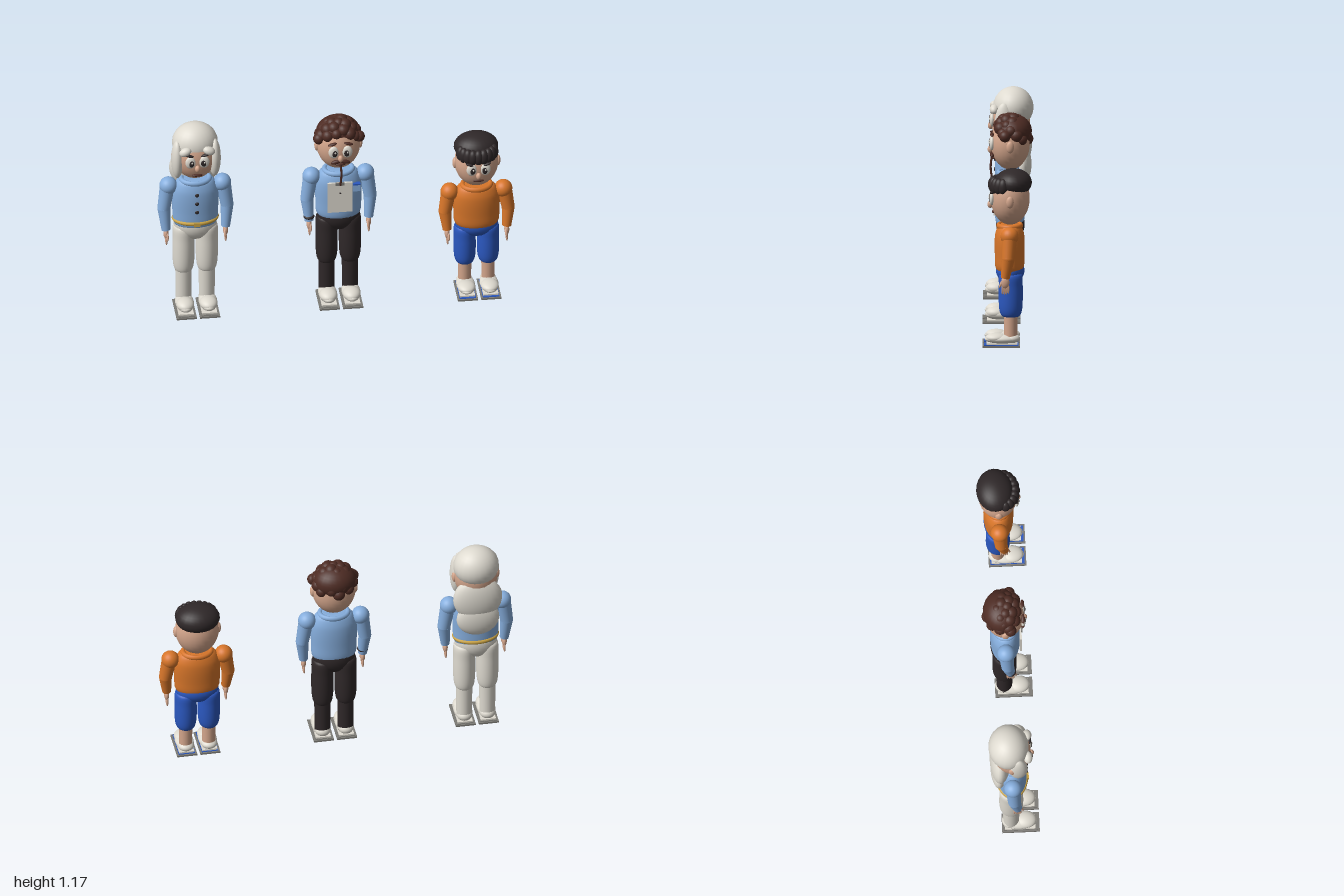
import * as THREE from 'three';

const material = (name, color) => new THREE.MeshStandardMaterial({ name, color });
const M = {
  skin: material('skin', 0xd4a68c), white: material('offWhite', 0xdedad0),
  sky: material('lightBlue', 0x86aedd), orange: material('orange', 0xd8762a),
  blue: material('blue', 0x2b58c0), black: material('charcoal', 0x2f2829),
  brown: material('brown', 0x4e2c24), gold: material('gold', 0xcda545),
  gray: material('gray', 0x7d7b76),
};
const sphere = new THREE.SphereGeometry(1, 24, 18);
const curlSphere = new THREE.SphereGeometry(1, 16, 12);

function add(parent, name, geometry, mat, pos = [0, 0, 0], scale = [1, 1, 1], rotZ = 0) {
  const m = new THREE.Mesh(geometry, mat);
  m.name = name;
  m.position.set(...pos);
  m.scale.set(...scale);
  m.rotation.z = rotZ;
  parent.add(m);
  return m;
}
const ball = (p, name, mat, pos, radii, rotZ = 0, geo = sphere) => add(p, name, geo, mat, pos, radii, rotZ);
const box = (p, name, mat, pos, size, rotZ = 0) => add(p, name, new THREE.BoxGeometry(...size), mat, pos, [1, 1, 1], rotZ);

// Tapered round limb between two points
function limb(p, name, mat, a, b, ra, rb) {
  const A = new THREE.Vector3(...a), B = new THREE.Vector3(...b);
  const dir = B.clone().sub(A);
  const m = add(p, name, new THREE.CylinderGeometry(rb, ra, dir.length(), 20), mat);
  m.position.copy(A).add(B).multiplyScalar(0.5);
  m.quaternion.setFromUnitVectors(new THREE.Vector3(0, 1, 0), dir.normalize());
  return m;
}

// Smooth solid of revolution through a few profile points
function turned(p, name, mat, points, pos, scale) {
  const curve = new THREE.SplineCurve(points.map(([x, y]) => new THREE.Vector2(x, y)));
  const pts = curve.getPoints(30).map((v) => new THREE.Vector2(Math.max(0, v.x), v.y));
  return add(p, name, new THREE.LatheGeometry(pts, 32), mat, pos, scale);
}

function addTorso(g, mat, bottom, top) {
  const h = top - bottom;
  turned(g, 'torso', mat, [
    [0, 0], [0.09, 0.002], [0.123, 0.03], [0.128, h * 0.35], [0.13, h * 0.65],
    [0.12, h * 0.85], [0.085, h], [0, h],
  ], [0, bottom, -0.012], [1, 1, 0.64]);
  const collar = add(g, 'collar', new THREE.TorusGeometry(0.078, 0.015, 12, 32), mat, [0, top - 0.006, -0.012], [1, 0.8, 1]);
  collar.rotation.x = Math.PI / 2;
}

function addArm(g, s, mat, shoulderY, wristY) {
  const elbowY = shoulderY - (shoulderY - wristY) * 0.52;
  const elbow = [s * 0.176, elbowY, -0.005], wrist = [s * 0.166, wristY, 0.012];
  ball(g, 'shoulder', mat, [s * 0.15, shoulderY, -0.012], [0.05, 0.05, 0.05]);
  limb(g, 'upperSleeve', mat, [s * 0.155, shoulderY, -0.012], elbow, 0.042, 0.036);
  ball(g, 'elbow', mat, elbow, [0.036, 0.036, 0.036]);
  limb(g, 'lowerSleeve', mat, elbow, wrist, 0.036, 0.025);
  // Hand
  ball(g, 'palm', M.skin, [s * 0.166, wristY - 0.025, 0.012], [0.014, 0.034, 0.023]);
  for (let i = 0; i < 4; i++) {
    const z = 0.028 - i * 0.011;
    ball(g, 'finger', M.skin, [s * 0.165, wristY - 0.068 + Math.abs(i - 1.3) * 0.004, z], [0.006, 0.029, 0.006]);
  }
  const thumb = ball(g, 'thumb', M.skin, [s * 0.16, wristY - 0.035, 0.036], [0.007, 0.024, 0.007]);
  thumb.rotation.x = -0.4;
}

function addLeg(g, s, o) {
  const x = s * 0.065, h = o.legTop - o.knee, r = o.calfRadius;
  turned(g, 'thigh', o.pants, [
    [0, 0], [0.038, 0.002], [0.054, 0.022], [0.061, h * 0.3], [0.061, h * 0.7], [0.055, h], [0, h],
  ], [x, o.knee, -0.018], [1, 1, 1.08]);
  limb(g, 'calf', o.calf, [x, 0.04, -0.018], [x, o.knee + 0.03, -0.018], r * 0.95, r);
  // Shoe on a flat base plate
  const k = o.shoeHeight;
  ball(g, 'shoe', M.white, [x, 0.018 + k * 0.45, 0.029], [0.052, k * 0.5, 0.098]);
  ball(g, 'shoeToe', M.white, [x, 0.022 + k * 0.5, 0.062], [0.05, k * 0.5, 0.06]);
  ball(g, 'shoeHeel', M.white, [x, 0.018 + k * 0.5, -0.026], [0.044, k * 0.5, 0.044]);
  box(g, 'sole', M.white, [x, 0.015, 0.03], [0.085, 0.012, 0.17]);
  box(g, 'basePlate', M.gray, [x, 0.005, 0.034], [0.112, 0.01, 0.208]);
  box(g, 'plateTrim', o.trim, [x, 0.011, 0.034], [0.092, 0.004, 0.19]);
}

function addHead(g, y, brow, browY, browTilt, mouthY) {
  ball(g, 'head', M.skin, [0, y, -0.015], [0.122, 0.148, 0.108]);
  ball(g, 'nose', M.skin, [0, y - 0.035, 0.095], [0.015, 0.021, 0.016]);
  ball(g, 'mouth', M.brown, [0, y + mouthY, 0.077], [0.03, 0.008, 0.009]);
  for (const s of [-1, 1]) {
    ball(g, 'ear', M.skin, [s * 0.12, y - 0.005, -0.014], [0.014, 0.033, 0.021]);
    ball(g, 'eye', M.white, [s * 0.038, y + 0.003, 0.086], [0.029, 0.037, 0.015]);
    ball(g, 'pupil', M.black, [s * 0.034, y, 0.097], [0.015, 0.021, 0.006]);
    ball(g, 'eyeGlint', M.white, [s * 0.034 + 0.004, y + 0.007, 0.102], [0.005, 0.006, 0.003]);
    ball(g, 'eyebrow', brow, [s * 0.045, y + browY, 0.086], [0.026, 0.008, 0.011], s * browTilt);
  }
}

function person(name, x, o) {
  const g = new THREE.Group();
  g.name = name;
  g.position.x = x;
  addTorso(g, o.shirt, o.legTop, o.top);
  ball(g, 'hips', o.pants, [0, o.legTop + 0.01, -0.015], [0.12, o.hips, 0.079]);
  for (const s of [-1, 1]) {
    addArm(g, s, o.shirt, o.top - 0.042, o.wrist);
    addLeg(g, s, o);
  }
  return g;
}

const adult = { top: 0.835, legTop: 0.53, wrist: 0.52, knee: 0.235, hips: 0.1, calfRadius: 0.046, shoeHeight: 0.066, trim: M.gray };

// Figure with long pale hair, buttons and belt
function longHairedFigure() {
  const g = person('longHairedFigure', -0.786, { ...adult, shirt: M.sky, pants: M.white, calf: M.white });
  const y = 0.99;
  addHead(g, y, M.black, 0.047, 0.3, -0.087);
  ball(g, 'hairDome', M.white, [0, y + 0.068, -0.03], [0.127, 0.115, 0.112]);
  ball(g, 'hairBackUpper', M.white, [0, 0.87, -0.078], [0.138, 0.14, 0.057]);
  ball(g, 'hairBackLower', M.white, [0, 0.74, -0.085], [0.12, 0.11, 0.046]);
  for (const s of [-1, 1]) {
    ball(g, 'hairLock', M.white, [s * 0.104, y - 0.01, 0.02], [0.034, 0.118, 0.052]);
    ball(g, 'bushyBrow', M.white, [s * 0.066, y + 0.067, 0.075], [0.035, 0.024, 0.025], s * -0.4);
  }
  for (let i = 0; i < 3; i++) ball(g, 'button', M.black, [0, 0.655 + i * 0.055, 0.071], [0.011, 0.011, 0.006]);
  const belt = add(g, 'belt', new THREE.TorusGeometry(0.12, 0.011, 10, 40), M.gold, [0, 0.578, -0.012], [1, 0.69, 1]);
  belt.rotation.x = Math.PI / 2;
  box(g, 'buckle', M.gold, [0, 0.578, 0.078], [0.035, 0.024, 0.008]);
  return g;
}

// Figure with curls, moustache and clipboard
function curlyFigure() {
  const g = person('curlyFigure', 0.011, { ...adult, shirt: M.sky, pants: M.black, calf: M.black });
  const y = 0.995, n = 92;
  addHead(g, y, M.brown, 0.055, -0.25, -0.082);
  ball(g, 'hairBase', M.brown, [0, y + 0.07, -0.03], [0.122, 0.09, 0.104]);
  for (let i = 0; i < n; i++) {
    const v = 1 - (2 * i + 1) / n, a = i * 2.39996, r = Math.sqrt(1 - v * v);
    const z = Math.cos(a) * r;
    if (v < 0.32 + 0.26 * z) continue;
    const size = 0.031 + 0.006 * Math.abs(Math.sin(i * 1.7));
    ball(g, 'curl', M.brown, [Math.sin(a) * r * 0.112, y + v * 0.14, -0.015 + z * 0.092], [size, size, size], 0, curlSphere);
  }
  for (const s of [-1, 1]) {
    ball(g, 'sideCurl', M.brown, [s * 0.112, y + 0.055, 0.015], [0.032, 0.032, 0.032]);
    ball(g, 'moustache', M.brown, [s * 0.024, y - 0.06, 0.086], [0.031, 0.012, 0.012], s * -0.25);
  }
  // Clipboard on a cord, with a clip, and a shirt pocket
  const cord = new THREE.CatmullRomCurve3([[0, 0.92, 0.088], [0.004, 0.86, 0.094], [0, 0.78, 0.084]].map((p) => new THREE.Vector3(...p)));
  add(g, 'cord', new THREE.TubeGeometry(cord, 12, 0.006, 8), M.brown);
  box(g, 'clipboard', M.white, [-0.002, 0.695, 0.073], [0.138, 0.19, 0.012]);
  box(g, 'clip', M.gray, [-0.002, 0.785, 0.081], [0.05, 0.018, 0.008]);
  ball(g, 'clipKnob', M.black, [0, 0.725, 0.08], [0.005, 0.005, 0.004]);
  box(g, 'pocket', M.sky, [0.093, 0.742, 0.05], [0.04, 0.046, 0.025]);
  box(g, 'pocketFlap', M.blue, [0.093, 0.764, 0.053], [0.042, 0.008, 0.025]);
  ball(g, 'wristband', M.black, [-0.167, 0.545, 0.012], [0.031, 0.014, 0.031]);
  return g;
}

// Small figure with a dark fringe and shorts
function smallFigure() {
  const g = person('smallFigure', 0.78, {
    shirt: M.orange, pants: M.blue, calf: M.skin, top: 0.672, legTop: 0.405, wrist: 0.4,
    knee: 0.165, hips: 0.075, calfRadius: 0.038, shoeHeight: 0.052, trim: M.blue,
  });
  const y = 0.82;
  addHead(g, y, M.black, 0.035, 0.3, -0.075);
  ball(g, 'hairCap', M.black, [0, y + 0.088, -0.032], [0.124, 0.077, 0.103]);
  for (let i = -4; i <= 4; i++) {
    const a = i * 0.32;
    ball(g, 'fringe', M.black, [Math.sin(a) * 0.094, y + 0.076, Math.cos(a) * 0.078], [0.028, 0.046, 0.03]);
  }
  return g;
}

export function createModel() {
  const model = new THREE.Group();
  model.name = 'threeFigures';
  model.add(longHairedFigure(), curlyFigure(), smallFigure());
  return model;
}
